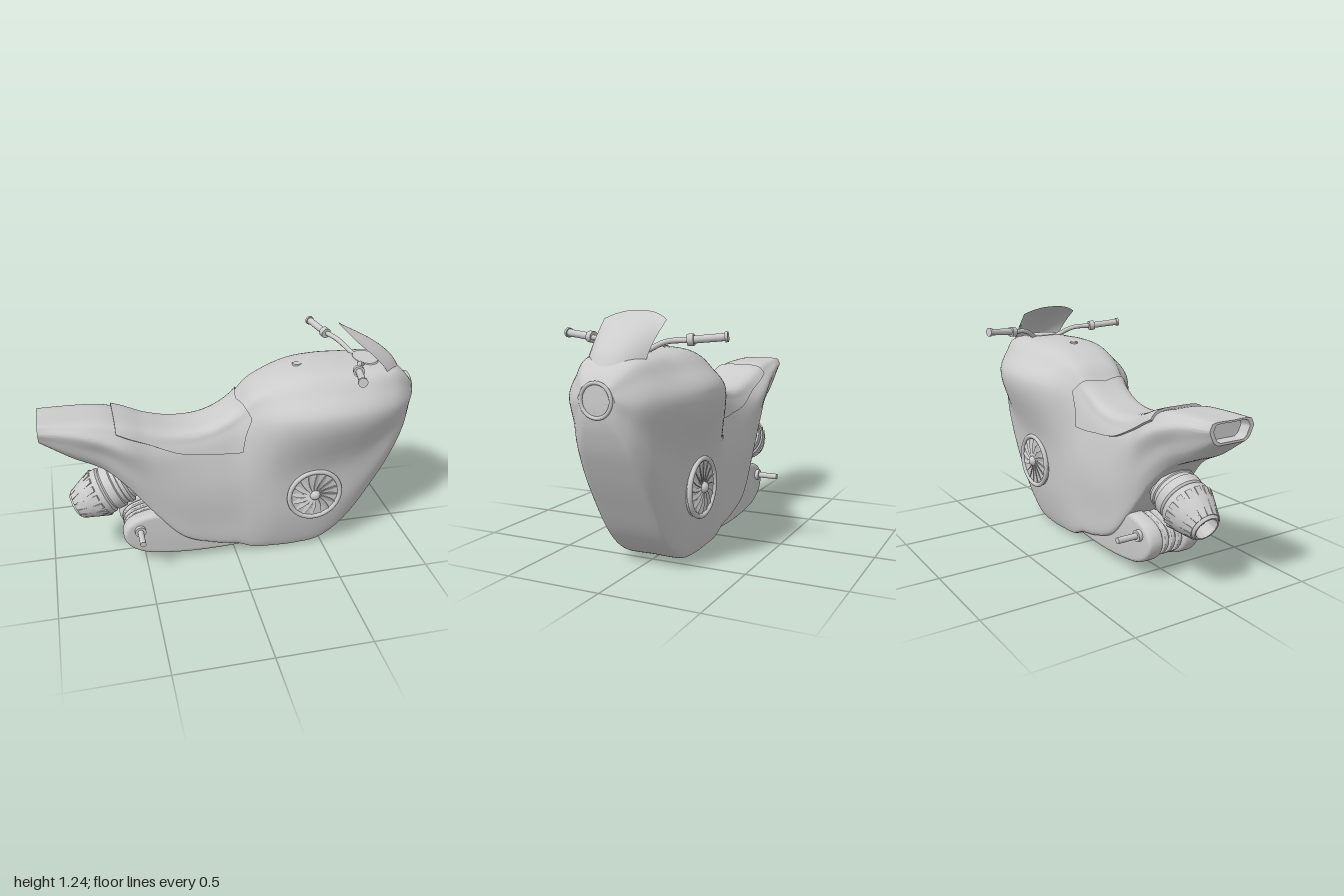
import * as THREE from 'three';
import { toCreasedNormals } from 'three/addons/utils/BufferGeometryUtils.js';

const grey = new THREE.MeshStandardMaterial({ color: 0xcccccc });
const greyDouble = new THREE.MeshStandardMaterial({ color: 0xcccccc, side: THREE.DoubleSide });
const V = (x, y, z) => new THREE.Vector3(x, y, z);

function add(parent, name, geometry, pos = [0, 0, 0], rot = [0, 0, 0], material = grey) {
  const mesh = new THREE.Mesh(geometry, material);
  mesh.name = name;
  mesh.position.set(...pos);
  mesh.rotation.set(...rot);
  parent.add(mesh);
  return mesh;
}

// Surface through equal-length rows of points
function skin(rows, crease = 0.7) {
  const n = rows[0].length, index = [];
  for (let i = 0; i < rows.length - 1; i++) {
    for (let j = 0; j < n - 1; j++) {
      const a = i * n + j, b = a + n;
      index.push(a, b, b + 1, a, b + 1, a + 1);
    }
  }
  const g = new THREE.BufferGeometry().setFromPoints(rows.flat());
  g.setIndex(index);
  return toCreasedNormals(g, crease);
}

// Straight round bar between two points
function bar(parent, name, a, b, r) {
  const d = b.clone().sub(a);
  const mesh = add(parent, name, new THREE.CylinderGeometry(r, r, d.length(), 20), a.clone().add(b).multiplyScalar(0.5).toArray());
  mesh.quaternion.setFromUnitVectors(V(0, 1, 0), d.normalize());
}

// Body stations: bottom y, top y, half-widths at keel, lower side, shoulder, shoulder y, half-width of the top
const stationX = [-1, -0.85, -0.68, -0.58, -0.45, -0.3, -0.12, 0.02, 0.1, 0.2, 0.35, 0.5, 0.65, 0.78, 0.88, 0.95, 0.99];
const stations = [
  0.79, 0.895, 0.08, 0.115, 0.125, 0.86, 0.11,
  0.69, 0.895, 0.09, 0.14, 0.155, 0.85, 0.11,
  0.60, 0.885, 0.11, 0.155, 0.182, 0.80, 0.12,
  0.50, 0.86, 0.13, 0.17, 0.193, 0.75, 0.12,
  0.33, 0.81, 0.15, 0.178, 0.173, 0.68, 0.11,
  0.16, 0.775, 0.165, 0.181, 0.155, 0.66, 0.11,
  0.085, 0.79, 0.168, 0.181, 0.146, 0.68, 0.11,
  0.055, 0.87, 0.17, 0.188, 0.154, 0.74, 0.11,
  0.02, 0.955, 0.17, 0.206, 0.195, 0.80, 0.12,
  0.01, 1.01, 0.17, 0.228, 0.262, 0.845, 0.13,
  0.005, 1.055, 0.168, 0.236, 0.315, 0.865, 0.15,
  0.03, 1.065, 0.165, 0.236, 0.328, 0.87, 0.16,
  0.155, 1.06, 0.16, 0.233, 0.308, 0.865, 0.16,
  0.35, 1.055, 0.155, 0.213, 0.265, 0.86, 0.155,
  0.52, 1.035, 0.14, 0.183, 0.212, 0.86, 0.13,
  0.66, 0.98, 0.11, 0.138, 0.15, 0.85, 0.095,
  0.78, 0.93, 0.065, 0.085, 0.095, 0.86, 0.065];
const spline = new THREE.CubicInterpolant(stationX, stations, 7);

// Closed cross-section at x; t = 0 is the keel, t = 0.5 the top
function section(x) {
  const [yb, yt, wb, wl, wu, yu, wt] = spline.evaluate(x);
  const h = yu - yb, cap = yt - yu;
  const half = [[wb * 0.93, yb + h * 0.004], [wb, yb + h * 0.02], [wb + (wl - wb) * 0.65, yb + h * 0.25],
    [wl, yb + h * 0.6], [wu, yu], [(wt + wu) / 2, yt - cap * 0.46], [wt, yt - cap * 0.1]];
  const right = half.map(([z, y]) => V(x, y, z));
  const left = half.map(([z, y]) => V(x, y, -z)).reverse();
  return new THREE.CatmullRomCurve3([V(x, yb, 0), ...right, V(x, yt, 0), ...left], true);
}

function bodyGeometry() {
  const ring = x => section(x).getPoints(96);
  const rows = [];
  // Recessed tail end
  const tail = ring(-1);
  for (const [scale, x] of [[0, -0.95], [0.75, -0.95], [0.82, -1]])
    rows.push(tail.map(p => V(x, 0.847 + (p.y - 0.847) * scale, p.z * scale)));
  for (let i = 0; i <= 100; i++) rows.push(ring(-1 + 1.99 * i / 100));
  rows.push(rows.at(-1).map(() => V(0.99, 0.86, 0)));
  return skin(rows, 0.6);
}

// Saddle: a raised skin following the body above a curved lower edge
function seatGeometry() {
  const edge = new THREE.CubicInterpolant([-0.62, -0.45, -0.3, -0.15, 0.03, 0.09], [0.83, 0.745, 0.68, 0.66, 0.66, 0.69], 1);
  const rows = [], NS = 50, NF = 40;
  for (let i = 0; i <= NS; i++) {
    const row = [];
    for (let j = 0; j <= NF; j++) {
      const f = THREE.MathUtils.clamp((j - 1) / (NF - 2), 0, 1);
      const s = THREE.MathUtils.clamp((i - 1) / (NS - 2), 0, 1);
      const g = 1 - Math.abs(2 * f - 1);
      const front = 0.03 + 0.05 * (g < 0.3 ? g / 0.3 : (1 - g) / 0.7);
      const x = THREE.MathUtils.lerp(-0.62, front, s);
      const curve = section(x), low = edge.evaluate(x)[0];
      let a = 0.1, b = 0.5;
      for (let k = 0; k < 14; k++) {
        const m = (a + b) / 2;
        if (curve.getPoint(m).y < low) a = m; else b = m;
      }
      const t = THREE.MathUtils.lerp(a, 1 - a, f), p = curve.getPoint(t), d = curve.getTangent(t);
      const rim = i === 0 || j === 0 || i === NS || j === NF;
      const lift = rim ? -0.01 : 0.013;
      row.push(V(x, p.y - d.z * lift, p.z + d.y * lift));
    }
    rows.push(row);
  }
  return skin(rows, 0.7);
}

// Windshield: bowed sheet between a centre line and swept-back side edges
function windshieldGeometry() {
  const centre = new THREE.CatmullRomCurve3([V(0.94, 0.975, 0), V(0.88, 1.07, 0), V(0.77, 1.155, 0), V(0.6, 1.24, 0)]);
  const side = new THREE.CatmullRomCurve3([V(0.83, 1.0, 0.15), V(0.79, 1.06, 0.15), V(0.73, 1.125, 0.155), V(0.645, 1.2, 0.165)]);
  const rows = [];
  for (let i = 0; i <= 20; i++) {
    const c = centre.getPoint(i / 20), e = side.getPoint(i / 20), row = [];
    for (let j = -10; j <= 10; j++) {
      const u = j / 10, p = c.clone().lerp(e, Math.abs(u) ** 2.4);
      row.push(V(p.x, p.y, e.z * u));
    }
    rows.push(row);
  }
  return skin(rows, 1);
}

function makeFan(side) {
  const fan = new THREE.Group();
  fan.name = 'sideFan';
  fan.position.set(0.42, 0.38, side * 0.238);
  if (side < 0) fan.rotation.y = Math.PI;
  add(fan, 'fanShroud', new THREE.CylinderGeometry(0.148, 0.148, 0.07, 40), [0, 0, -0.035], [Math.PI / 2, 0, 0]);
  add(fan, 'fanRim', new THREE.TorusGeometry(0.143, 0.013, 10, 48));
  add(fan, 'fanHub', new THREE.SphereGeometry(0.03, 20, 12), [0, 0, 0.002]);
  const shape = new THREE.Shape();
  shape.moveTo(0.02, -0.006);
  shape.quadraticCurveTo(0.08, -0.005, 0.135, -0.04);
  shape.lineTo(0.138, -0.012);
  shape.quadraticCurveTo(0.08, 0.018, 0.02, 0.006);
  const blade = new THREE.ExtrudeGeometry(shape, { depth: 0.004, bevelEnabled: false, curveSegments: 6 });
  blade.rotateX(0.4);
  for (let i = 0; i < 16; i++) add(fan, 'fanBlade', blade, [0, 0, 0.004], [0, 0, i * Math.PI / 8]);
  return fan;
}

function makeExhaust() {
  const exhaust = new THREE.Group();
  exhaust.name = 'exhaust';
  exhaust.position.set(-0.855, 0.34, 0);
  exhaust.rotation.z = -1.137;
  const profile = [[0, 0.07], [0.05, 0.06], [0.06, 0], [0.068, 0], [0.097, 0.05], [0.118, 0.1], [0.13, 0.15], [0.13, 0.185], [0.118, 0.195],
    [0.126, 0.205], [0.128, 0.25], [0.118, 0.255], [0.118, 0.275], [0.124, 0.28], [0.124, 0.3], [0.108, 0.31], [0.1, 0.42]];
  const lathe = new THREE.LatheGeometry(profile.map(([r, y]) => new THREE.Vector2(r, y)), 40);
  add(exhaust, 'exhaustNozzle', toCreasedNormals(lathe, 0.5), [0, 0, 0], [0, 0, 0], greyDouble);
  const petal = new THREE.BoxGeometry(0.012, 0.15, 0.03).rotateZ(-0.38).translate(0.104, 0.085, 0);
  for (let i = 0; i < 16; i++) add(exhaust, 'nozzlePetal', petal, [0, 0, 0], [0, i * Math.PI / 8, 0]);
  return exhaust;
}

// Rounded belly slab between two z values
function bellySlab(parent, name, z0, z1, inset, bevel) {
  const s = new THREE.Shape(), k = inset + bevel;
  s.moveTo(0.06, 0.045 + k);
  s.bezierCurveTo(-0.1, 0.03 + k, -0.3, 0.03 + k, -0.46, 0.06 + k);
  s.bezierCurveTo(-0.57 + k, 0.08 + k, -0.62 + k, 0.15, -0.62 + k, 0.2);
  s.bezierCurveTo(-0.61 + k, 0.26, -0.56 + k, 0.3 - k, -0.44, 0.315 - k);
  s.lineTo(-0.3, 0.3 - k);
  s.lineTo(0.06, 0.12);
  const g = new THREE.ExtrudeGeometry(s, { depth: z1 - z0 - 2 * bevel, bevelSize: bevel, bevelThickness: bevel, bevelSegments: 4, bevelEnabled: bevel > 0, curveSegments: 14 });
  add(parent, name, toCreasedNormals(g, 0.6), [0, 0, z0 + bevel]);
}

export function createModel() {
  const bike = new THREE.Group();
  bike.name = 'hoverBike';
  add(bike, 'body', bodyGeometry());
  add(bike, 'seat', seatGeometry(), [0, 0, 0], [0, 0, 0], greyDouble);
  add(bike, 'windshield', windshieldGeometry(), [0, 0, 0], [0, 0, 0], greyDouble);

  // Headlight
  add(bike, 'headlightLens', new THREE.CylinderGeometry(0.074, 0.08, 0.05, 40), [0.965, 0.865, 0], [0, 0, -Math.PI / 2]);
  add(bike, 'headlightRim', new THREE.TorusGeometry(0.077, 0.009, 10, 40), [0.99, 0.865, 0], [0, Math.PI / 2, 0]);

  // Tank top
  add(bike, 'fuelCap', new THREE.CylinderGeometry(0.024, 0.028, 0.02, 6), [0.36, 1.052, 0]);
  const dash = add(bike, 'dashboard', new THREE.CylinderGeometry(0.09, 0.1, 0.02, 32), [0.74, 1.052, 0]);
  dash.scale.x = 0.7;

  bike.add(makeExhaust());

  // Belly with fins between the outer plates
  bellySlab(bike, 'bellyCore', -0.1, 0.1, 0.035, 0);
  for (const z of [-0.04, 0, 0.04]) bellySlab(bike, 'bellyFin', z - 0.012, z + 0.012, 0.012, 0.005);

  for (const side of [1, -1]) {
    bike.add(makeFan(side));
    bellySlab(bike, 'bellyPlate', side > 0 ? 0.065 : -0.155, side > 0 ? 0.155 : -0.065, 0, 0.022);

    // Foot peg
    bar(bike, 'pegBase', V(-0.53, 0.23, side * 0.14), V(-0.53, 0.23, side * 0.175), 0.03);
    bar(bike, 'footPeg', V(-0.53, 0.23, side * 0.17), V(-0.53, 0.23, side * 0.285), 0.016);

    // Handlebar
    const stem = new THREE.CatmullRomCurve3([V(0.7, 1.05, side * 0.07), V(0.645, 1.1, side * 0.16), V(0.605, 1.108, side * 0.27)]);
    add(bike, 'handlebarStem', new THREE.TubeGeometry(stem, 16, 0.013, 12));
    const inner = V(0.605, 1.108, side * 0.25), outer = V(0.56, 1.125, side * 0.43);
    const along = k => inner.clone().lerp(outer, k);
    bar(bike, 'grip', along(0), along(1), 0.018);
    bar(bike, 'gripCollar', along(0), along(0.16), 0.028);
    bar(bike, 'gripEnd', along(0.93), along(1), 0.024);
  }
  return bike;
}
